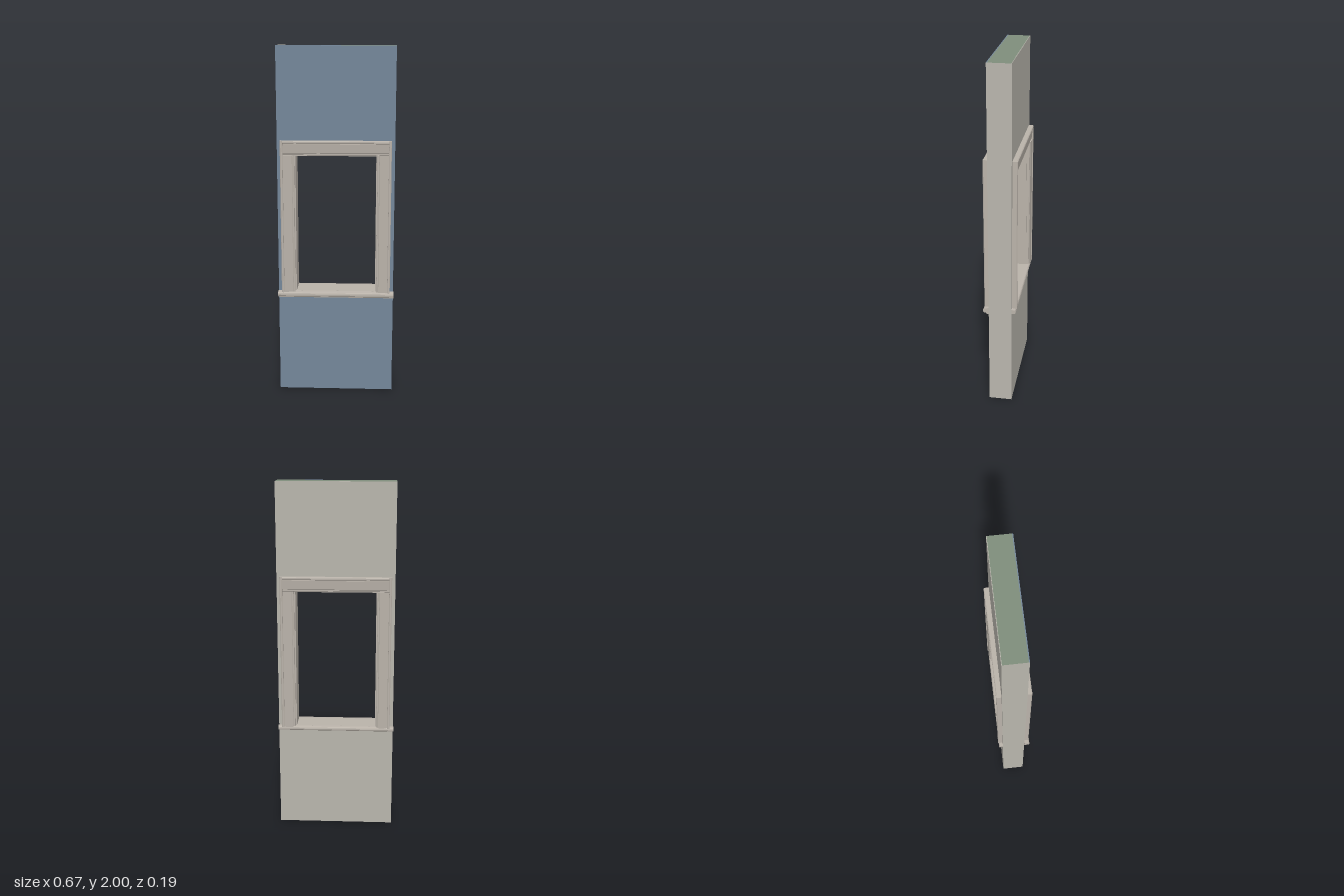
import * as THREE from 'three';

const mat = (name, color) => {
  const m = new THREE.MeshStandardMaterial({ color });
  m.name = name;
  return m;
};

const W = 0.33, H = 2;                        // wall half width and height
const HOLE = { x: 0.235, y0: 0.6, y1: 1.405 }; // rough opening

const path = (pts, C = THREE.Shape) => new C(pts.map(p => new THREE.Vector2(p[0], p[1])));
const rect = (x, y0, y1) => [[-x, y0], [x, y0], [x, y1], [-x, y1]];

// Plate with a rectangular hole, spanning z0..z1
function framed(outer, inner, z0, z1) {
  const s = path(outer);
  s.holes.push(path(inner, THREE.Path));
  const g = new THREE.ExtrudeGeometry(s, { depth: z1 - z0, bevelEnabled: false });
  return g.translate(0, 0, z0);
}

// Assign a material index to every triangle from its normal
function paint(geo, pick) {
  const n = geo.attributes.normal;
  geo.clearGroups();
  for (let i = 0; i < n.count; i += 3) geo.addGroup(i, 3, pick(n.getX(i), n.getY(i), n.getZ(i)));
  return geo;
}

// Casing cross-section, from the opening outwards: [across, projection]
const CASING = [
  [0.233, 0], [0.233, 0.014], [0.236, 0.017], [0.242, 0.017], [0.245, 0.02],
  [0.292, 0.024], [0.292, 0.019], [0.296, 0.019], [0.296, 0.025],
  [0.299, 0.028], [0.307, 0.028], [0.311, 0.024], [0.311, 0],
];
const BEAD = CASING.slice(7).concat([[0.296, 0]]);

export function createModel() {
  const blue = mat('blue siding', 0x74879a);
  const green = mat('green core', 0x7f8e7c);
  const plaster = mat('warm grey wall', 0xb9b6ad);
  const trimMat = mat('pale trim', 0xbab3aa);

  const model = new THREE.Group();
  model.name = 'wallWithWindowOpening';
  const add = (parent, name, geo, m) => {
    const mesh = new THREE.Mesh(geo, m);
    mesh.name = name;
    parent.add(mesh);
    return mesh;
  };

  // Wall layers
  const outer = rect(W, 0, H), hole = rect(HOLE.x, HOLE.y0, HOLE.y1);
  add(model, 'wallCore', paint(framed(outer, hole, -0.064, 0.058),
    (x, y) => (y > 0.5 ? 1 : 0)), [plaster, green]);
  add(model, 'frontSiding', paint(framed(outer, hole, 0.058, 0.063),
    x => (Math.abs(x) > 0.5 ? 1 : 0)), [blue, plaster]);
  add(model, 'backPanel', framed(outer, hole, -0.067, -0.064), plaster);

  // Lining of the opening
  add(model, 'openingLiner', framed(hole, rect(0.226, 0.61, 1.396), -0.068, 0.064), trimMat);

  // Bars with a constant section, running along y or x, projecting to +z
  const upright = (pts, side, y0, y1) =>
    new THREE.ExtrudeGeometry(path(pts.map(([u, v]) => [u * side, -v])), { depth: y1 - y0, bevelEnabled: false })
      .rotateX(-Math.PI / 2).translate(0, y0, 0);
  const level = (pts, half) =>
    new THREE.ExtrudeGeometry(path(pts), { depth: 2 * half, bevelEnabled: false })
      .translate(0, 0, -half).rotateY(-Math.PI / 2);

  function casing(name, sill) {
    const g = new THREE.Group();
    g.name = name;
    for (const side of [-1, 1]) {
      const label = side > 0 ? 'left' : 'right';
      add(g, label + 'Casing', upright(CASING, side, 0.605, 1.402), trimMat);
      add(g, label + 'CornerBead', upright(BEAD, side, 1.402, 1.483), trimMat);
    }
    // Head uses the same moulding laid across the top
    const head = CASING.map(([u, v]) => [v, 1.402 + (u - 0.233) * 0.081 / 0.078]);
    add(g, 'headCasing', level(head, 0.297), trimMat);
    add(g, 'sill', level(sill, 0.333), trimMat);
    model.add(g);
    return g;
  }

  // Front casing with a nosed sill
  casing('frontCasing', [
    [0, 0.572], [0.012, 0.572], [0.014, 0.581], [0.026, 0.581], [0.031, 0.585],
    [0.032, 0.594], [0.03, 0.602], [0.026, 0.606], [0, 0.61],
  ]).position.z = 0.063;

  // Back casing with a slimmer stool
  const back = casing('backCasing', [
    [0, 0.586], [0.018, 0.586], [0.022, 0.589], [0.024, 0.596],
    [0.022, 0.604], [0.018, 0.608], [0, 0.61],
  ]);
  back.rotation.y = Math.PI;
  back.position.z = -0.067;

  return model;
}
